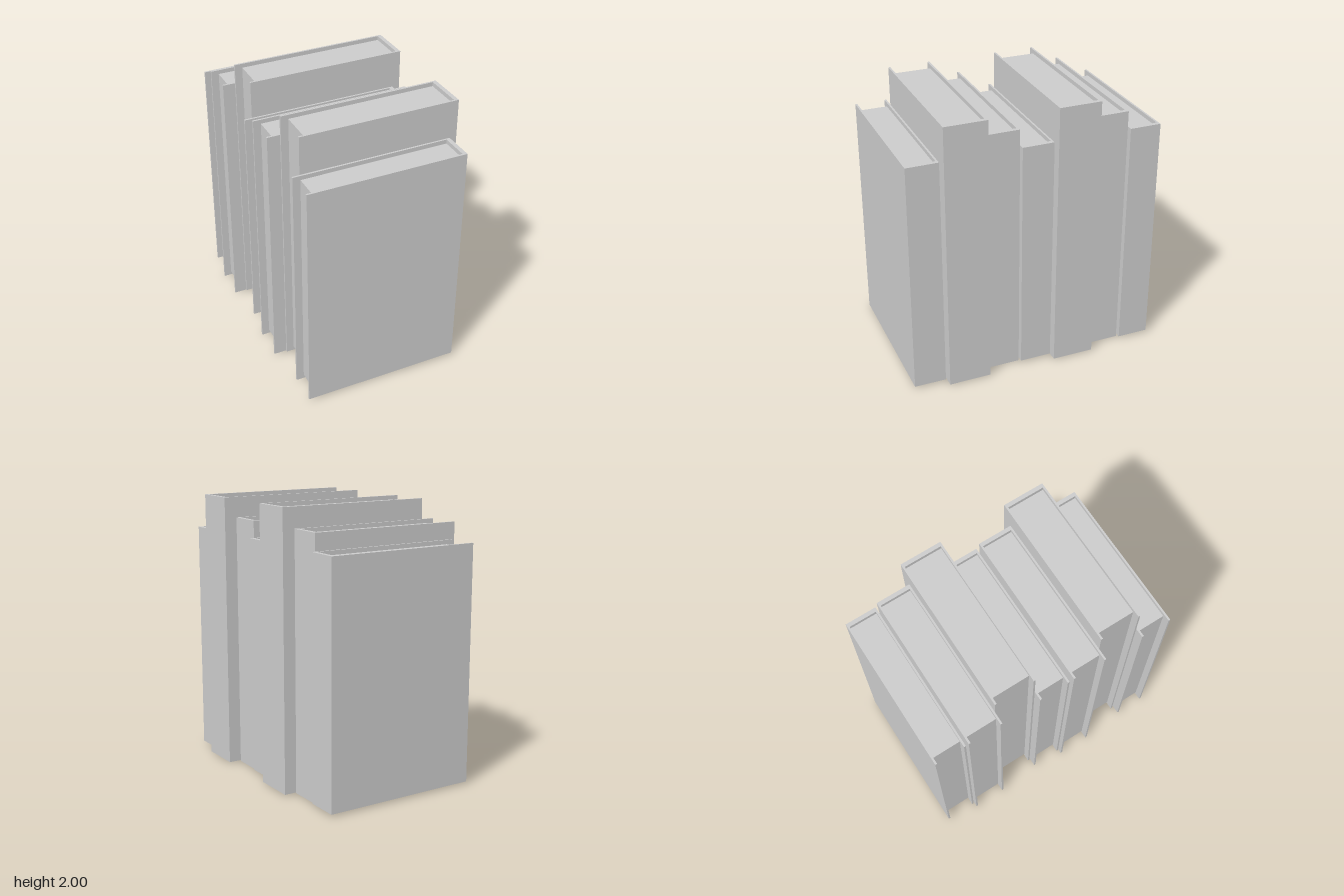
import * as THREE from 'three';

const material = new THREE.MeshStandardMaterial({ color: 0xcccccc, flatShading: true });
const BOARD = 0.014; // cover board thickness
const SPINE = 0.03; // spine thickness
const RECESS = 0.03; // pages sit below the cover edges
const LENGTH = 1.155; // spine to fore edge

// Book sizes: spine x, bottom y, top y, thickness
const SIZES = {
  small: { spineX: 0.56, bottom: 0.014, top: 1.732, thick: 0.232 },
  medium: { spineX: 0.53, bottom: 0, top: 1.853, thick: 0.254 },
  large: { spineX: 0.62, bottom: 0.005, top: 2, thick: 0.307 },
};

function makeBook({ spineX, bottom, top, thick }) {
  const book = new THREE.Group();
  const foreX = spineX - LENGTH;
  const half = thick / 2;
  const inner = half - BOARD;
  const height = top - bottom;

  // U-shaped cover: two boards joined by the spine
  const outline = new THREE.Shape([
    [foreX, -half], [spineX, -half], [spineX, half], [foreX, half],
    [foreX, inner], [spineX - SPINE, inner], [spineX - SPINE, -inner], [foreX, -inner],
  ].map(([x, y]) => new THREE.Vector2(x, y)));
  const coverGeometry = new THREE.ExtrudeGeometry(outline, { depth: height, bevelEnabled: false });
  coverGeometry.rotateX(-Math.PI / 2);
  const cover = new THREE.Mesh(coverGeometry, material);
  cover.name = 'cover';
  cover.position.y = bottom;

  // Page block, set back from the fore edge, top and bottom
  const pageStart = foreX + 0.055;
  const pageEnd = spineX - SPINE;
  const pages = new THREE.Mesh(
    new THREE.BoxGeometry(pageEnd - pageStart, height - 2 * RECESS, inner * 2), material);
  pages.name = 'pages';
  pages.position.set((pageStart + pageEnd) / 2, bottom + height / 2, 0);

  book.add(cover, pages);
  return book;
}

export function createModel() {
  const model = new THREE.Group();
  model.name = 'bookRow';

  // Row from back to front, repeating small, medium, large
  const row = [
    ['small', -0.814], ['medium', -0.563], ['large', -0.281],
    ['small', -0.006], ['medium', 0.244], ['large', 0.531],
    ['small', 0.812],
  ];
  row.forEach(([size, z], i) => {
    const book = makeBook(SIZES[size]);
    book.name = `${size}Book${i + 1}`;
    book.position.z = z;
    model.add(book);
  });
  return model;
}
